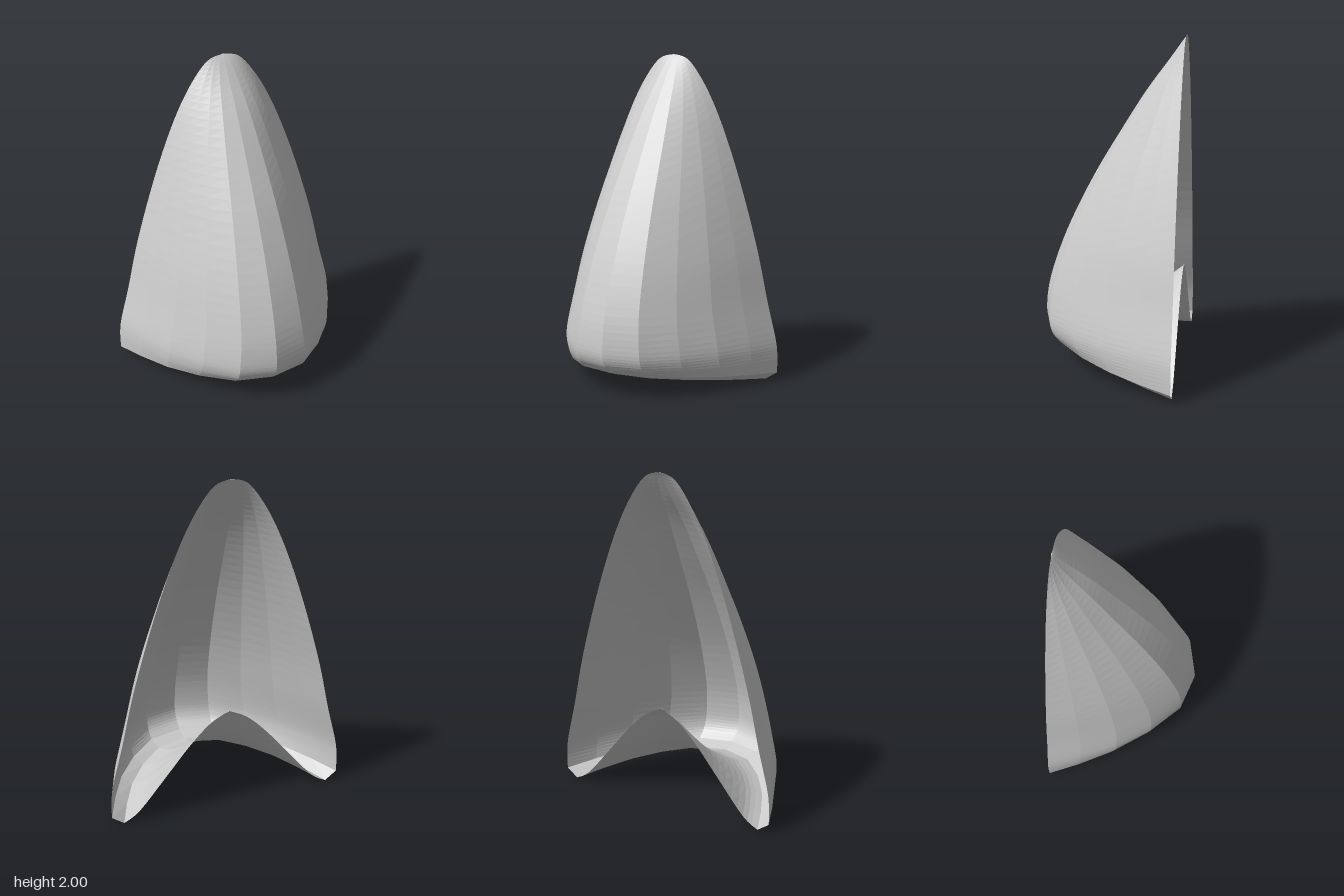
import * as THREE from 'three';

const BACK = -0.425;
// Half outline of a horizontal section, from the middle of the front to the back edge:
// [share of half width, share of depth]
const HALF = [[0, 1], [0.295, 0.93], [0.537, 0.73], [0.738, 0.49], [0.886, 0.235], [1, 0]];
const OUTLINE = [...HALF.slice(1).reverse().map(([x, z]) => [-x, z]), ...HALF];

// Rows: [half width, height at the back, z at the front, height at the front]
const OUTER = [
  [0, 2, -0.43, 2], [0.1, 1.97, -0.405, 1.97], [0.2, 1.85, -0.32, 1.85],
  [0.3, 1.67, -0.19, 1.67], [0.4, 1.43, -0.04, 1.43], [0.5, 1.14, 0.13, 1.14],
  [0.6, 0.8, 0.295, 0.8], [0.67, 0.5, 0.4, 0.5], [0.73, 0.27, 0.43, 0.3],
  [0.745, 0.16, 0.41, 0.2], [0.745, 0.05, 0.35, 0.14],
];
const LIP = [[0.745, 0.05, 0.35, 0.14], [0.67, 0, 0.27, 0.11]];
const INNER = [
  [0.67, 0, 0.27, 0.11], [0.57, 0.06, 0.13, 0.15], [0.4, 0.25, -0.08, 0.27],
  [0.25, 0.42, -0.24, 0.41], [0.12, 0.54, -0.35, 0.53], [0, 0.6, -0.43, 0.6],
];

// Lofts scaled copies of the outline along the back and front profiles
function loft(name, rows, steps) {
  const back = new THREE.SplineCurve(rows.map(r => new THREE.Vector2(r[0], r[1])));
  const front = new THREE.SplineCurve(rows.map(r => new THREE.Vector2(r[2], r[3])));
  const pos = [], index = [], n = OUTLINE.length;
  for (let i = 0; i <= steps; i++) {
    const b = back.getPoint(i / steps), f = front.getPoint(i / steps);
    for (const [sx, sz] of OUTLINE) {
      pos.push(sx * b.x, THREE.MathUtils.lerp(b.y, f.y, sz), BACK + sz * (f.x - BACK));
    }
  }
  for (let i = 0; i < steps; i++) {
    for (let j = 0; j < n - 1; j++) {
      const a = i * n + j, c = a + n;
      index.push(a, c, a + 1, a + 1, c, c + 1);
    }
  }
  const geo = new THREE.BufferGeometry();
  geo.setAttribute('position', new THREE.Float32BufferAttribute(pos, 3));
  geo.setIndex(index);
  geo.computeVertexNormals();
  const mesh = new THREE.Mesh(geo, new THREE.MeshStandardMaterial({
    color: 0xcccccc, flatShading: true, side: THREE.DoubleSide,
  }));
  mesh.name = name;
  return mesh;
}

export function createModel() {
  const group = new THREE.Group();
  group.name = 'pointedShell';
  // Tall outer hood, rolled lower lip, and the low inner vault; the back stays open
  group.add(loft('outerShell', OUTER, 50));
  group.add(loft('lowerLip', LIP, 1));
  group.add(loft('innerVault', INNER, 20));
  return group;
}
